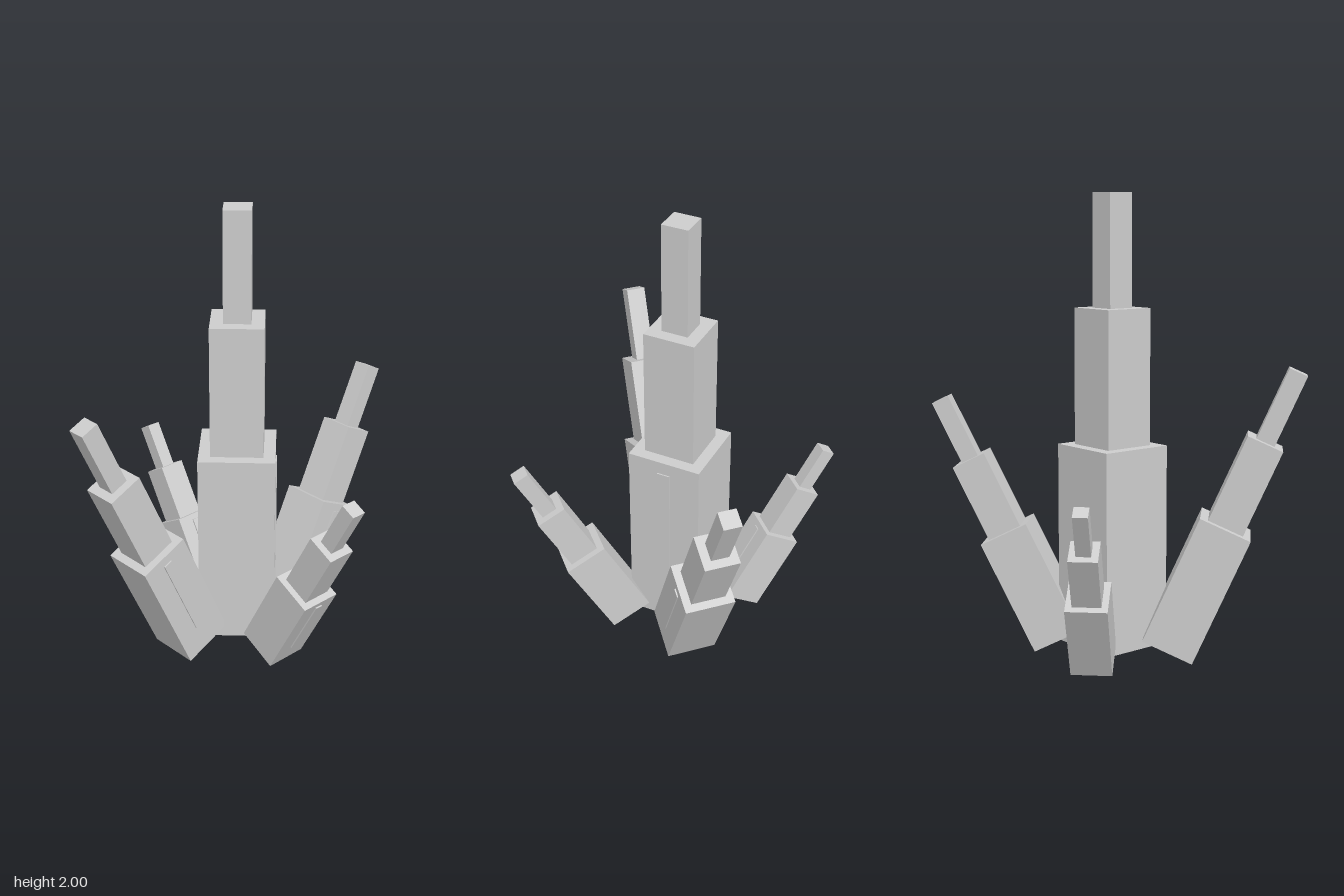
import * as THREE from 'three';

const stone = new THREE.MeshStandardMaterial({ color: 0xcccccc });
stone.name = 'pale grey stone';

function addBox(parent, name, w, h, d, y, z = 0) {
  const mesh = new THREE.Mesh(new THREE.BoxGeometry(w, h, d), stone);
  mesh.name = name;
  mesh.position.set(0, y, z);
  parent.add(mesh);
}

// A stepped crystal: three stacked square prisms and a thin facet strip on its +z face
function makeCrystal({ name, side, length, position, rotation }) {
  const crystal = new THREE.Group();
  crystal.name = name;
  const tiers = [
    ['lowerTier', 1, 0.45],
    ['middleTier', 0.69, 0.302],
    ['tip', 0.355, 0.248],
  ];
  let y = 0;
  for (const [tier, width, share] of tiers) {
    const h = share * length;
    addBox(crystal, tier, side * width, h, side * width, y + h / 2);
    y += h;
  }
  const base = 0.45 * length;
  addBox(crystal, 'facetStrip', side * 0.18, base * 0.71, 0.008, base * 0.578, side / 2 + 0.002);
  crystal.position.set(...position);
  crystal.rotation.set(...rotation.map(THREE.MathUtils.degToRad));
  return crystal;
}

export function createModel() {
  const model = new THREE.Group();
  model.name = 'crystalCluster';
  const crystals = [
    { name: 'centralCrystal', side: 0.333, length: 1.95, position: [0.015, 0.05, -0.02], rotation: [0, 45, 0] },
    { name: 'leftCrystal', side: 0.222, length: 1.176, position: [0.254, 0.055, 0.042], rotation: [0, 0, -26.2] },
    { name: 'rightCrystal', side: 0.234, length: 1.32, position: [-0.235, 0.053, -0.06], rotation: [0, 0, 24.1] },
    { name: 'frontCrystal', side: 0.193, length: 0.973, position: [-0.013, 0.05, 0.24], rotation: [27.8, 0, 0] },
    { name: 'backCrystal', side: 0.176, length: 0.836, position: [0.07, 0.048, -0.278], rotation: [-29.8, 0, 0] },
  ];
  for (const c of crystals) model.add(makeCrystal(c));
  return model;
}
